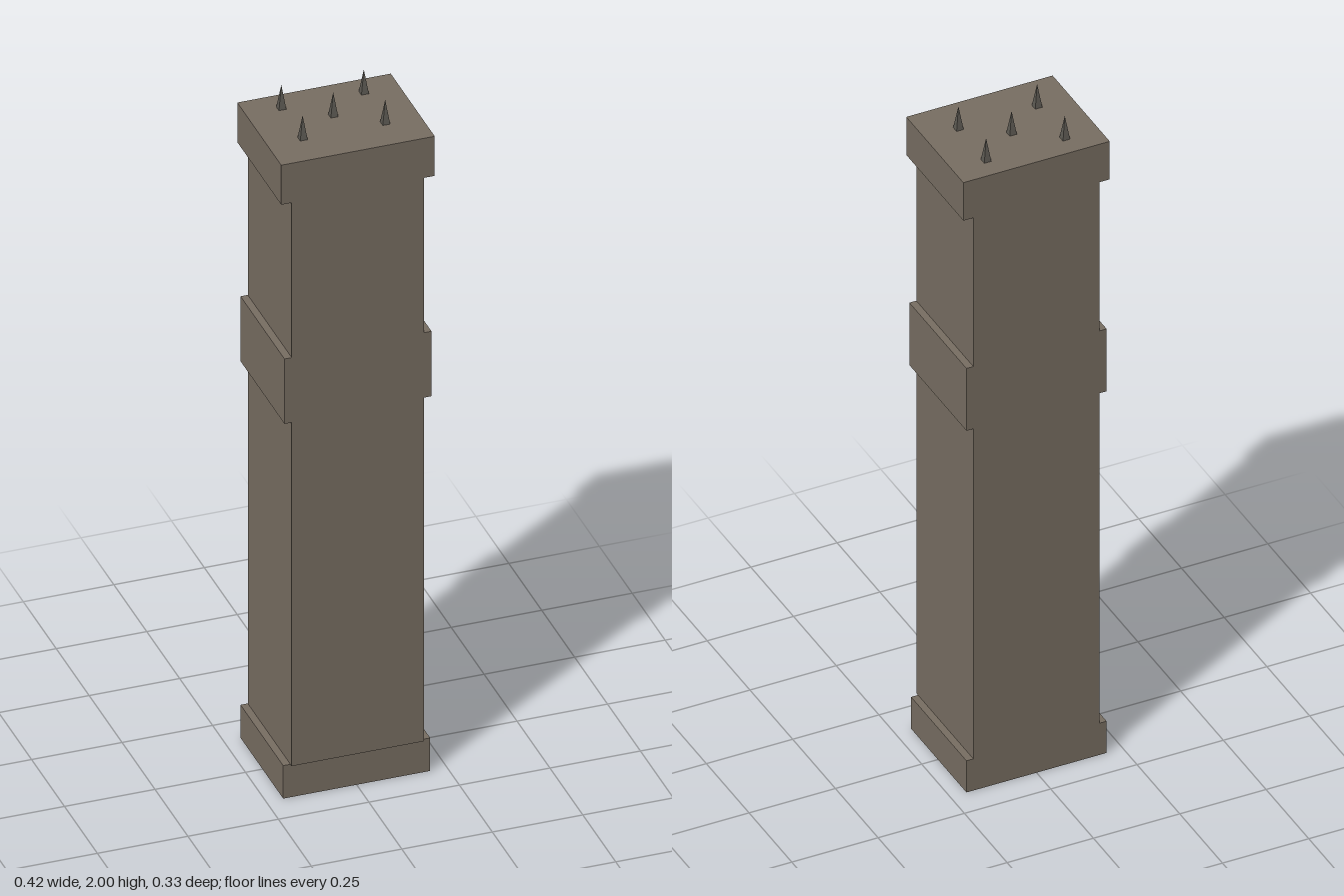
import * as THREE from 'three';

export function createModel() {
  const model = new THREE.Group();
  const stone = new THREE.MeshStandardMaterial({ color: 0x786e62 });
  stone.name = 'stone';
  const iron = new THREE.MeshStandardMaterial({ color: 0x5c5952 });
  iron.name = 'iron';

  // Stacked sections of the pillar: name, width, bottom, top, front z
  const back = -0.167;
  const sections = [
    ['base', 0.406, 0, 0.1, 0.157],
    ['lowerShaft', 0.366, 0.1, 1.143, 0.167],
    ['middleBand', 0.406, 1.143, 1.34, 0.167],
    ['upperShaft', 0.366, 1.34, 1.81, 0.167],
    ['cap', 0.424, 1.81, 1.93, 0.167],
  ];
  for (const [name, width, bottom, top, front] of sections) {
    const section = new THREE.Mesh(
      new THREE.BoxGeometry(width, top - bottom, front - back), stone);
    section.name = name;
    section.position.set(0, (bottom + top) / 2, (front + back) / 2);
    model.add(section);
  }

  // Square pyramid spikes: one at each corner and one in the middle
  const spikeGeometry = new THREE.ConeGeometry(0.0145, 0.07, 4).toNonIndexed();
  spikeGeometry.rotateY(Math.PI / 4);
  spikeGeometry.computeVertexNormals();
  const spikes = new THREE.Group();
  spikes.name = 'spikes';
  const spots = [[-0.114, -0.102], [0.114, -0.102], [0, -0.021], [-0.114, 0.06], [0.114, 0.06]];
  for (const [x, z] of spots) {
    const spike = new THREE.Mesh(spikeGeometry, iron);
    spike.name = 'spike';
    spike.position.set(x, 1.965, z);
    spikes.add(spike);
  }
  model.add(spikes);

  return model;
}
